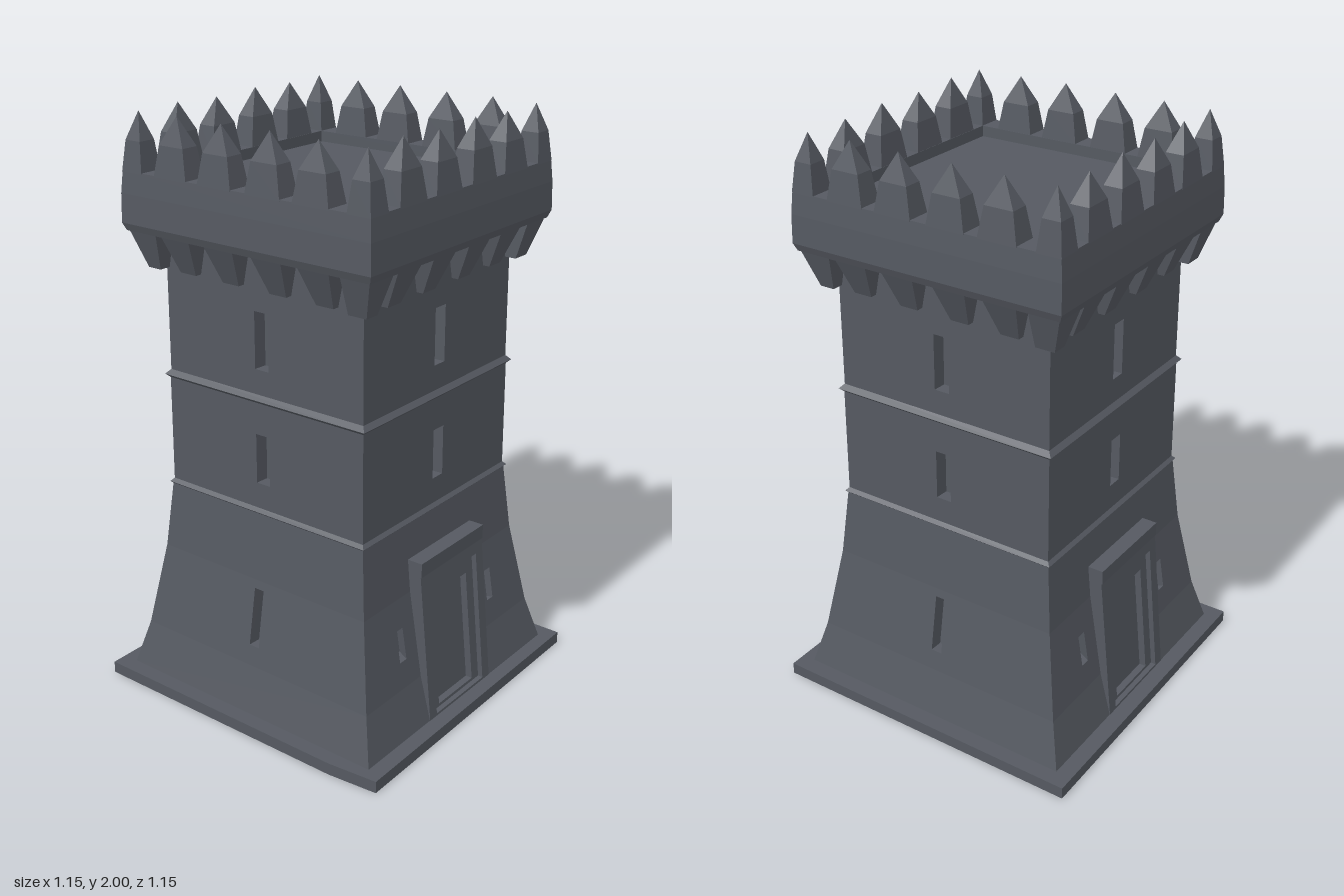
import * as THREE from 'three';

const stone = new THREE.MeshStandardMaterial({ color: 0x555961 });
stone.name = 'slate stone';

function add(parent, name, geometry) {
  const mesh = new THREE.Mesh(geometry, stone);
  mesh.name = name;
  parent.add(mesh);
  return mesh;
}

// square solid of revolution: profile of [half width, height], bottom to top
function squareLathe(profile) {
  const pts = profile.map(([h, y]) => new THREE.Vector2(h * Math.SQRT2, y));
  const g = new THREE.LatheGeometry(pts, 4).rotateY(Math.PI / 4).toNonIndexed();
  g.computeVertexNormals();
  return g;
}

const toPoints = (list) => list.map(([x, y]) => new THREE.Vector2(x, y));
const box = (hw, y0, y1, x = 0) => [[x - hw, y0], [x + hw, y0], [x + hw, y1], [x - hw, y1]];

// slab leaning along z = front(y); mitred slabs narrow toward their back
function leaningSlab(outline, holes, depth, front, mitre) {
  const shape = new THREE.Shape(toPoints(outline));
  holes.forEach((hole) => shape.holes.push(new THREE.Path(toPoints(hole))));
  const g = new THREE.ExtrudeGeometry(shape, { depth, bevelEnabled: false });
  const p = g.attributes.position;
  for (let i = 0; i < p.count; i++) {
    const h = front(p.getY(i));
    const back = p.getZ(i) < depth / 2;
    if (back && mitre) p.setX(i, p.getX(i) * (h - depth) / h);
    p.setZ(i, back ? h - depth : h);
  }
  g.computeVertexNormals();
  return g;
}

// wall courses: bottom height, half width, top height, half width
const courses = [
  [0.04, 0.52, 0.2, 0.478],
  [0.2, 0.478, 0.5, 0.428],
  [0.5, 0.428, 0.74, 0.405],
  [0.74, 0.402, 1.13, 0.4],
  [1.13, 0.398, 1.63, 0.396],
];

// outlines of one course, leaving the doorway open where there is one
function courseOutlines([y0, h0, y1, h1], index, hasDoor) {
  const d = 0.15;
  if (hasDoor && index === 0) {
    return [
      [[-h0, y0], [-d, y0], [-d, y1], [-h1, y1]],
      [[d, y0], [h0, y0], [h1, y1], [d, y1]],
    ];
  }
  const doorway = hasDoor && index === 1 ? [[-d, y0], [-d, 0.485], [d, 0.485], [d, y0]] : [];
  return [[[-h0, y0], ...doorway, [h0, y0], [h1, y1], [-h1, y1]]];
}

function wallSide(side) {
  const g = new THREE.Group();
  g.name = 'wallSide';
  g.rotation.y = side * Math.PI / 2;
  const hasDoor = side % 2 === 1;
  const slits = hasDoor
    ? [box(0.0175, 0.29, 0.4, 0.26), box(0.0175, 0.29, 0.4, -0.26)]
    : [box(0.02, 0.27, 0.47)];
  const holes = [[], slits, [], [box(0.0275, 0.84, 1.01)], [box(0.0275, 1.23, 1.42)]];
  courses.forEach((course, i) => {
    const [y0, h0, y1, h1] = course;
    const front = (y) => h0 + (h1 - h0) * (y - y0) / (y1 - y0);
    courseOutlines(course, i, hasDoor).forEach((outline) =>
      add(g, 'wallCourse', leaningSlab(outline, holes[i], 0.05, front, true)));
  });
  if (hasDoor) {
    // stepped portal with a recessed door
    const lean = (inset) => (y) => 0.525 - 0.1 * y - inset;
    add(g, 'portalFrame', leaningSlab(box(0.18, 0.03, 0.61), [box(0.14, 0.05, 0.52)], 0.1, lean(0)));
    add(g, 'doorFrame', leaningSlab(box(0.145, 0.03, 0.525), [box(0.1, 0.06, 0.46)], 0.08, lean(0.018)));
    add(g, 'door', leaningSlab(box(0.105, 0.05, 0.465), [], 0.04, lean(0.042)));
    add(g, 'lintel', new THREE.BoxGeometry(0.36, 0.05, 0.07)).position.set(0, 0.588, 0.437);
  }
  return g;
}

// wedge bracket, narrow at its foot and reaching outward at its head
function corbelGeometry(corner) {
  const g = new THREE.BoxGeometry(1, 0.13, 1);
  const p = g.attributes.position;
  for (let i = 0; i < p.count; i++) {
    const top = p.getY(i) > 0;
    const out = top ? 0.478 : (corner ? 0.437 : 0.42);
    const z = p.getZ(i) > 0 ? out : 0.37;
    if (corner) p.setX(i, p.getX(i) < 0 ? -out : (top ? -0.36 : -0.385));
    else p.setX(i, p.getX(i) * (top ? 0.12 : 0.065));
    p.setZ(i, z);
  }
  const flat = g.toNonIndexed();
  flat.computeVertexNormals();
  return flat;
}

export function createModel() {
  const tower = new THREE.Group();
  tower.name = 'tower';

  // ground slab with one worn corner
  const plan = new THREE.Shape(toPoints([
    [-0.575, -0.575], [0.4, -0.572], [0.575, -0.555], [0.568, 0.578], [-0.577, 0.575]]));
  add(tower, 'basePlate', new THREE.ExtrudeGeometry(plan, { depth: 0.042, bevelEnabled: false })
    .rotateX(-Math.PI / 2));

  // backing behind the window openings
  add(tower, 'innerCore', squareLathe([...courses.map(([y, h]) => [h - 0.045, y]), [0.35, 1.63]]));

  for (let side = 0; side < 4; side++) tower.add(wallSide(side));

  // string courses
  for (const y of [0.74, 1.13]) {
    add(tower, 'stringCourse', squareLathe([[0.396, y - 0.016], [0.413, y], [0.396, y + 0.018]]));
  }

  // parapet and roof deck
  add(tower, 'parapet', squareLathe([[0.34, 1.62], [0.482, 1.62], [0.492, 1.645], [0.49, 1.74],
    [0.484, 1.812], [0.4, 1.812], [0.4, 1.775], [0, 1.775]]));

  // pointed merlons above and corbels below, each side starting at its corner
  const slots = [-0.443, -0.28, -0.1, 0.09, 0.27];
  const merlon = squareLathe([[0.064, 0], [0.047, 0.1], [0, 0.19]]);
  const corbel = corbelGeometry(false);
  const cornerCorbel = corbelGeometry(true);
  for (let side = 0; side < 4; side++) {
    const ring = new THREE.Group();
    ring.name = 'battlementSide';
    ring.rotation.y = side * Math.PI / 2;
    slots.forEach((x, i) => {
      const m = add(ring, 'merlon', merlon);
      m.position.set(x, 1.808, 0.443);
      m.scale.set(i ? 1.05 : 0.66, 0.99 + 0.02 * Math.sin(side * 5 + i * 3), 0.66);
      const c = add(ring, 'corbel', i ? corbel : cornerCorbel);
      c.position.set(i ? x : 0, 1.562, 0);
    });
    tower.add(ring);
  }
  return tower;
}
